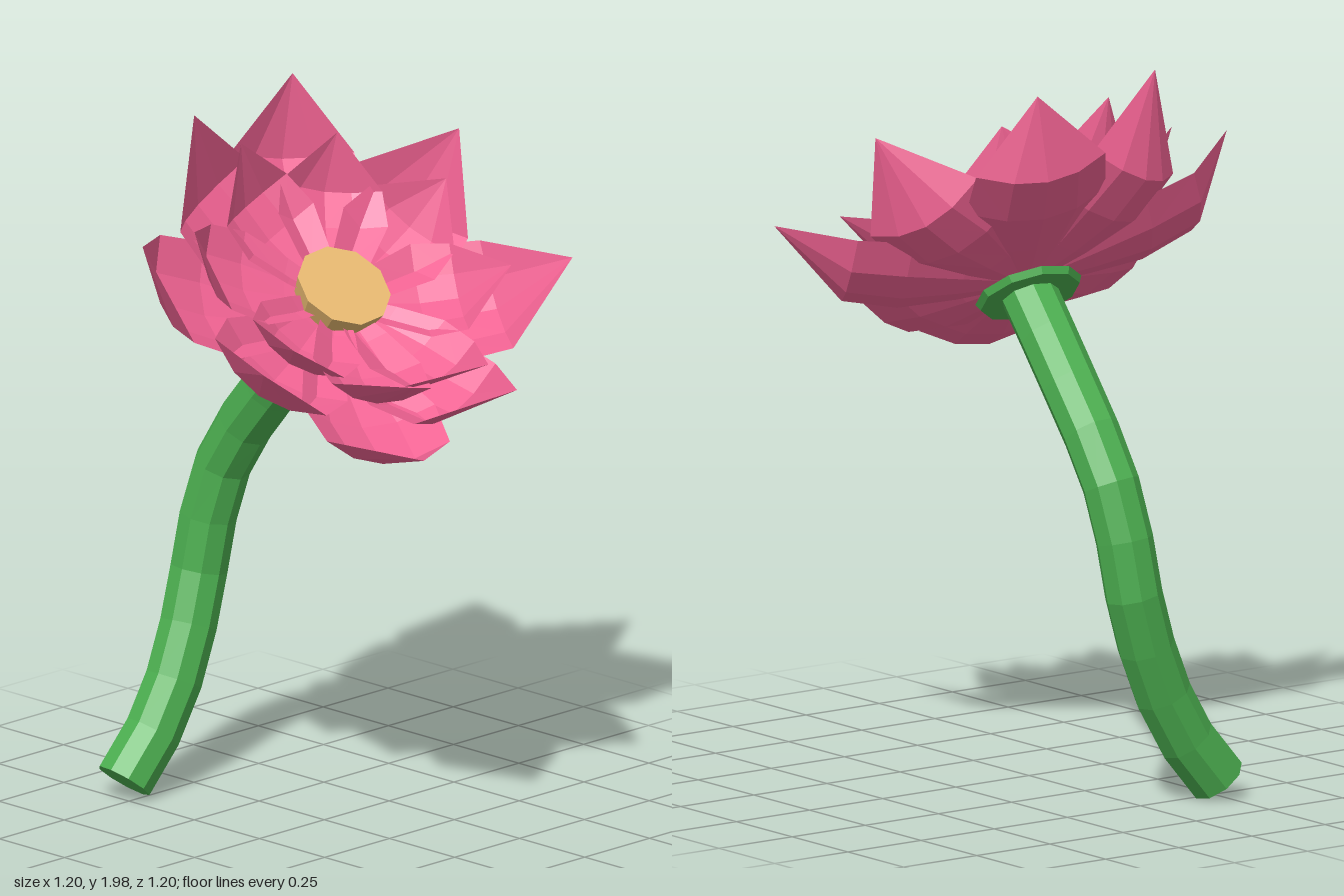
import * as THREE from 'three';

const V = (x, y, z) => new THREE.Vector3(x, y, z);
const mat = (color) => new THREE.MeshStandardMaterial({ color, flatShading: true, side: THREE.DoubleSide });

const AXIS = V(0.6, 0.79, 0.12).normalize(); // direction the bloom faces
const BASE = V(-0.06, 1.4, -0.055); // where the petals meet

// Petal tips, one per petal around the bloom
const OUTER = [
  [0.59, 1.33, -0.15], [0.355, 1.56, -0.6], [-0.02, 1.86, -0.54], [-0.38, 2.0, -0.26],
  [-0.29, 2.0, 0.21], [-0.1, 1.75, 0.6], [0.24, 1.43, 0.475], [0.6, 1.21, 0.22],
];
const INNER = [
  [0.53, 1.4, -0.1], [0.31, 1.57, -0.41], [0.03, 1.75, -0.44], [-0.18, 1.88, -0.23],
  [-0.2, 1.92, 0.12], [-0.05, 1.77, 0.45], [0.25, 1.48, 0.37], [0.54, 1.4, 0.2],
];

// Rows from root to tip: distance along, rise, half width
const ROWS = [
  [0.08, 0, 0.05], [0.3, 0.03, 0.13], [0.55, 0.09, 0.2], [0.78, 0.25, 0.185], [1, 1, 0],
];

// Cupped, pointed petal running from the bloom's base to a tip
function petalGeometry(tip, lift, widthScale) {
  const reach = tip.clone().sub(BASE);
  const height = reach.dot(AXIS);
  const out = reach.addScaledVector(AXIS, -height);
  const side = AXIS.clone().cross(out).normalize();
  const cols = 5, pos = [], idx = [];
  ROWS.forEach(([t, rise, half], r) => {
    for (let c = 0; c < cols; c++) {
      const s = (c / (cols - 1)) * 2 - 1;
      const w = half * widthScale;
      const p = BASE.clone()
        .addScaledVector(out, t - 0.04 * s * s * (t < 1 ? 1 : 0))
        .addScaledVector(AXIS, lift + (height - lift) * rise + 0.35 * w * s * s)
        .addScaledVector(side, w * s);
      pos.push(p.x, p.y, p.z);
      if (r && c) {
        const a = (r - 1) * cols + c - 1, b = a + cols;
        idx.push(a, b, a + 1);
        if (r < ROWS.length - 1) idx.push(a + 1, b, b + 1);
      }
    }
  });
  const g = new THREE.BufferGeometry();
  g.setAttribute('position', new THREE.Float32BufferAttribute(pos, 3));
  g.setIndex(idx);
  g.computeVertexNormals();
  return g;
}

function petalRing(name, tips, lift, widthScale, material) {
  const ring = new THREE.Group();
  ring.name = name;
  for (const t of tips) {
    const petal = new THREE.Mesh(petalGeometry(V(...t), lift, widthScale), material);
    petal.name = 'petal';
    ring.add(petal);
  }
  return ring;
}

// Disc across the bloom's axis, its centre at a given height above the base
function disc(name, rTop, rBottom, depth, sides, height, material) {
  const m = new THREE.Mesh(new THREE.CylinderGeometry(rTop, rBottom, depth, sides), material);
  m.name = name;
  m.quaternion.setFromUnitVectors(V(0, 1, 0), AXIS);
  m.position.copy(BASE).addScaledVector(AXIS, height);
  return m;
}

export function createModel() {
  const model = new THREE.Group();
  model.name = 'flower';
  const green = mat(0x4caf50), pink = mat(0xf06292), tan = mat(0xe6b870);

  // Curved stem, closed at its cut end
  const path = new THREE.CatmullRomCurve3([
    V(-0.53, 0.065, 0.24), V(-0.515, 0.22, 0.12), V(-0.515, 0.4, 0.03), V(-0.525, 0.6, -0.04),
    V(-0.5, 0.8, -0.065), V(-0.45, 0.95, -0.08), V(-0.28, 1.17, -0.08), V(-0.07, 1.385, -0.06),
  ]);
  const sides = 9;
  const tube = new THREE.TubeGeometry(path, 10, 0.08, sides, false);
  const stem = new THREE.Mesh(tube, green);
  stem.name = 'stem';

  const cap = new THREE.BufferGeometry();
  cap.setAttribute('position', new THREE.Float32BufferAttribute(
    Array.from(tube.attributes.position.array.slice(0, sides * 3)), 3));
  const fan = [];
  for (let i = 1; i < sides - 1; i++) fan.push(0, i, i + 1);
  cap.setIndex(fan);
  cap.computeVertexNormals();
  const stemEnd = new THREE.Mesh(cap, green);
  stemEnd.name = 'stemEnd';

  model.add(
    stem,
    stemEnd,
    disc('calyx', 0.15, 0.14, 0.02, 10, -0.03, green),
    petalRing('outerPetals', OUTER, 0, 1, pink),
    petalRing('innerPetals', INNER, 0.1, 0.8, pink),
    disc('flowerCentre', 0.135, 0.12, 0.07, 10, 0.135, tan),
  );
  return model;
}
